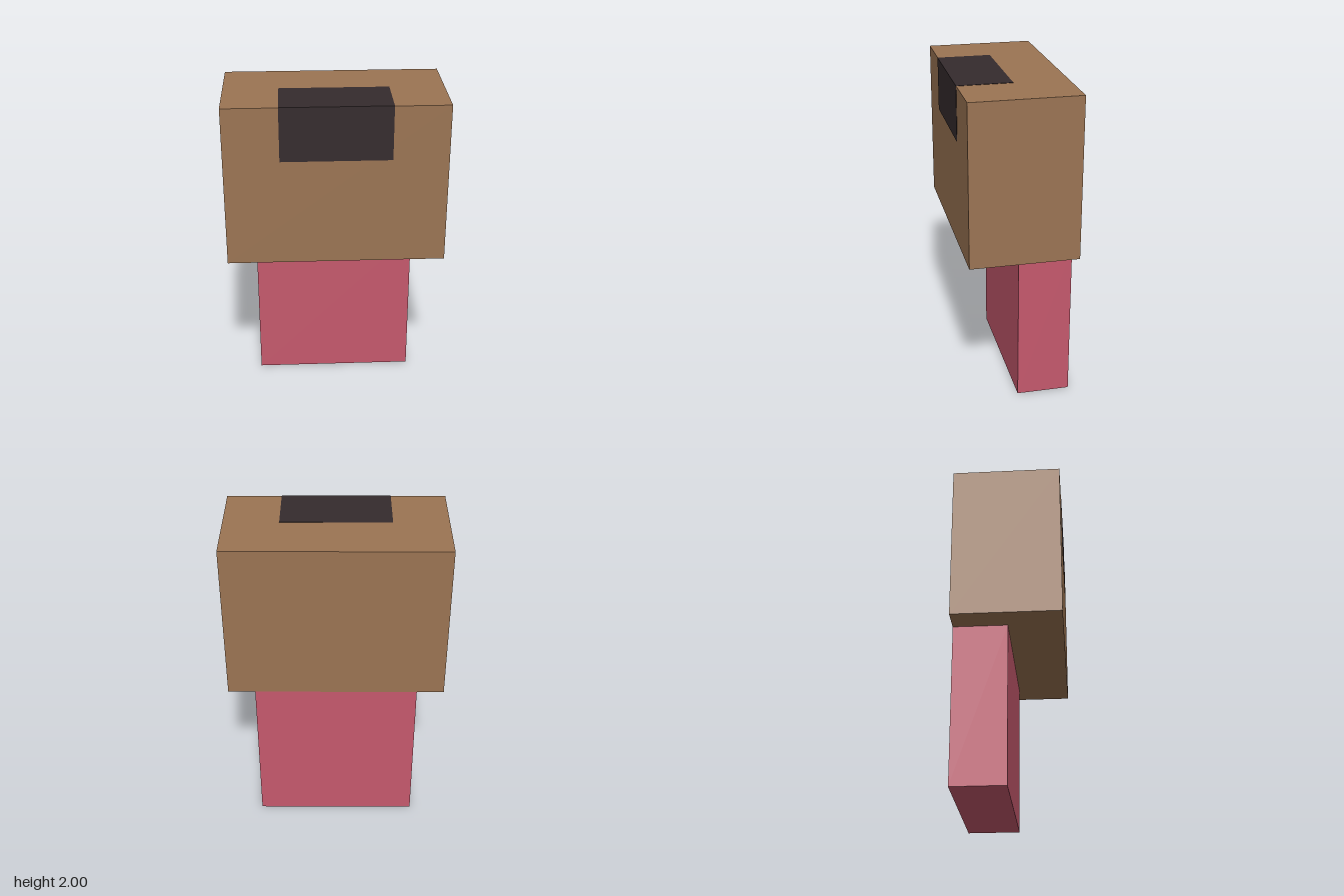
import * as THREE from 'three';

const material = (name, color) => {
  const m = new THREE.MeshStandardMaterial({ color });
  m.name = name;
  return m;
};

// Box given by its minimum and maximum corners
function block(name, mat, [x0, y0, z0], [x1, y1, z1]) {
  const mesh = new THREE.Mesh(new THREE.BoxGeometry(x1 - x0, y1 - y0, z1 - z0), mat);
  mesh.position.set((x0 + x1) / 2, (y0 + y1) / 2, (z0 + z1) / 2);
  mesh.name = name;
  return mesh;
}

export function createModel() {
  const group = new THREE.Group();
  group.name = 'blockOnStem';
  const brown = material('brown', 0x9b7453);
  const pink = material('pink', 0xc5596d);
  const dark = material('charcoal', 0x352b2d);
  const third = 1 / 3, t = 0.002;

  // Stem, flush with the back of the head
  group.add(block('stem', pink, [-0.5, 0, -third], [0.5, 1, 0]));

  // Wide head overhanging the stem at the front and sides
  group.add(block('head', brown, [-2 * third, 1, -third], [2 * third, 2, third]));

  // Dark patch wrapping over the top front edge, as two thin plates
  group.add(block('patchFront', dark, [-third, 2 - third, third - t], [third, 2 + t, third + t]));
  group.add(block('patchTop', dark, [-third, 2 - t, 0], [third, 2 + t, third - t]));

  return group;
}
